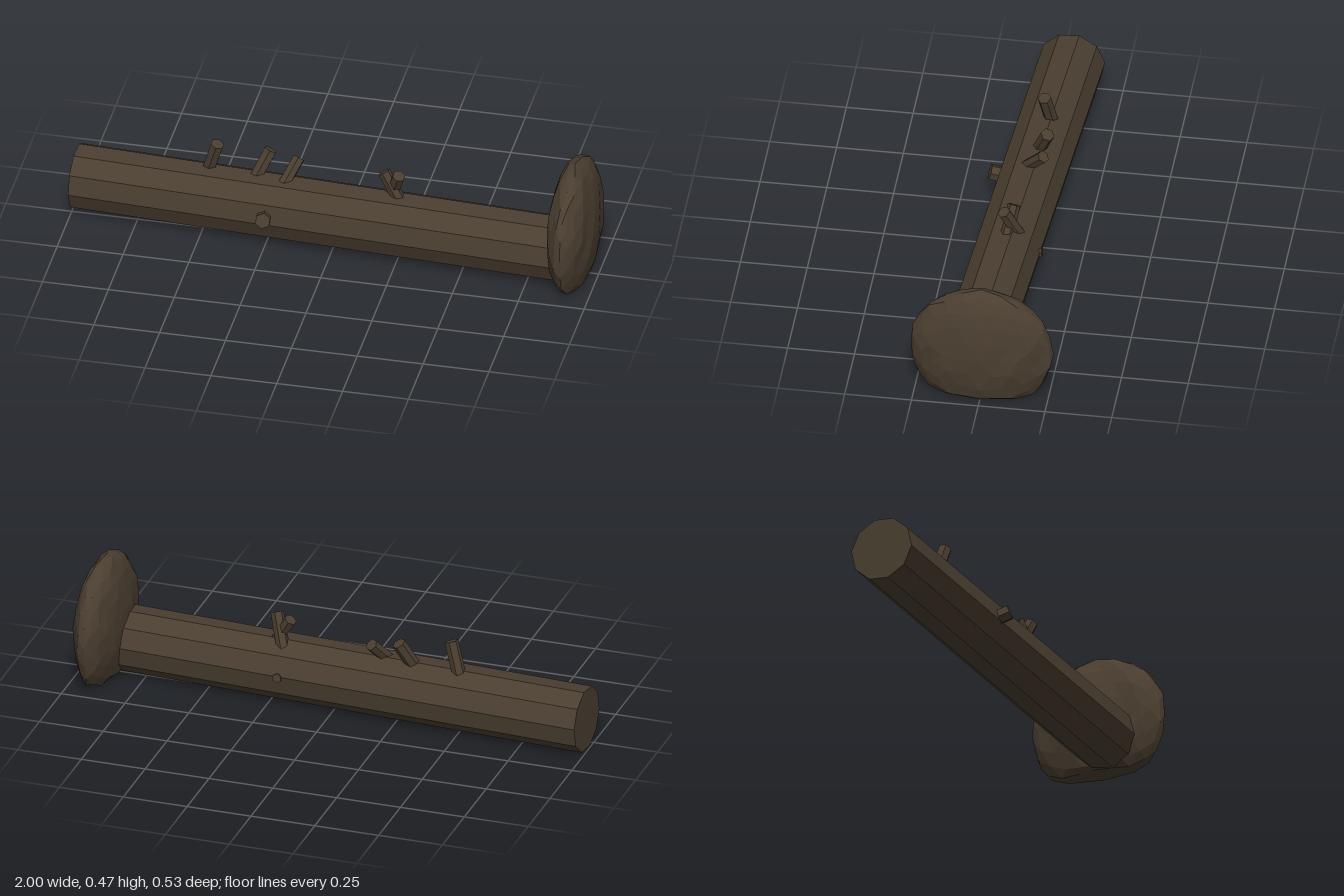
import * as THREE from 'three';

export function createModel() {
  const model = new THREE.Group();
  const bark = new THREE.MeshStandardMaterial({ color: 0x4a3e30 });
  bark.name = 'dark bark';

  const add = (name, geometry) => {
    const flat = geometry.index ? geometry.toNonIndexed() : geometry;
    flat.computeVertexNormals(); // faceted look
    const mesh = new THREE.Mesh(flat, bark);
    mesh.name = name;
    model.add(mesh);
    return mesh;
  };

  // Ten-sided trunk lying on the ground, turned slightly
  const length = 1.9;
  const yaw = Math.atan(0.0575);
  const trunk = new THREE.CylinderGeometry(0.125, 0.125, length, 10, 1, false, THREE.MathUtils.degToRad(5.5));
  trunk.rotateZ(-Math.PI / 2).rotateY(-yaw);
  trunk.translate(-0.993 + length / 2 * Math.cos(yaw), 0.122, -0.06 + length / 2 * Math.sin(yaw));
  add('trunk', trunk);

  // Root plate: squashed, slightly lumpy ball, flattened where it meets the ground
  const root = new THREE.IcosahedronGeometry(1, 3);
  const pos = root.attributes.position;
  const v = new THREE.Vector3();
  for (let i = 0; i < pos.count; i++) {
    v.fromBufferAttribute(pos, i);
    const lump = 1 + 0.025 * Math.sin(7 * v.x + 5 * v.y + 1) * Math.sin(8 * v.z - 4 * v.y + 2);
    pos.setXYZ(i,
      0.91 + v.x * 0.089 * lump * (1 + 0.06 * Math.sin(9 * v.z + 6 * v.y)),
      Math.max(0, 0.205 + v.y * 0.265 * lump),
      v.z * 0.268 * lump);
  }
  add('rootPlate', root);

  // Broken branch stubs: base, tip, radius
  const up = new THREE.Vector3(0, 1, 0);
  const stubs = [
    [[-0.50, 0.20, -0.06], [-0.455, 0.348, -0.035], 0.026],
    [[-0.33, 0.18, -0.02], [-0.262, 0.326, -0.075], 0.026],
    [[-0.22, 0.18, 0.03], [-0.155, 0.304, -0.075], 0.024],
    [[-0.26, 0.11, 0.03], [-0.245, 0.146, 0.138], 0.030],
    [[0.26, 0.20, 0.01], [0.182, 0.326, -0.015], 0.024],
    [[0.20, 0.20, -0.04], [0.245, 0.335, 0.015], 0.025],
    [[0.20, 0.12, -0.04], [0.20, 0.13, -0.122], 0.018],
  ];
  for (const [base, tip, radius] of stubs) {
    const a = new THREE.Vector3(...base);
    const b = new THREE.Vector3(...tip);
    const dir = b.clone().sub(a);
    const mesh = add('branchStub', new THREE.CylinderGeometry(radius, radius, dir.length(), 6));
    mesh.position.copy(a).add(b).multiplyScalar(0.5);
    mesh.quaternion.setFromUnitVectors(up, dir.normalize());
  }
  return model;
}
